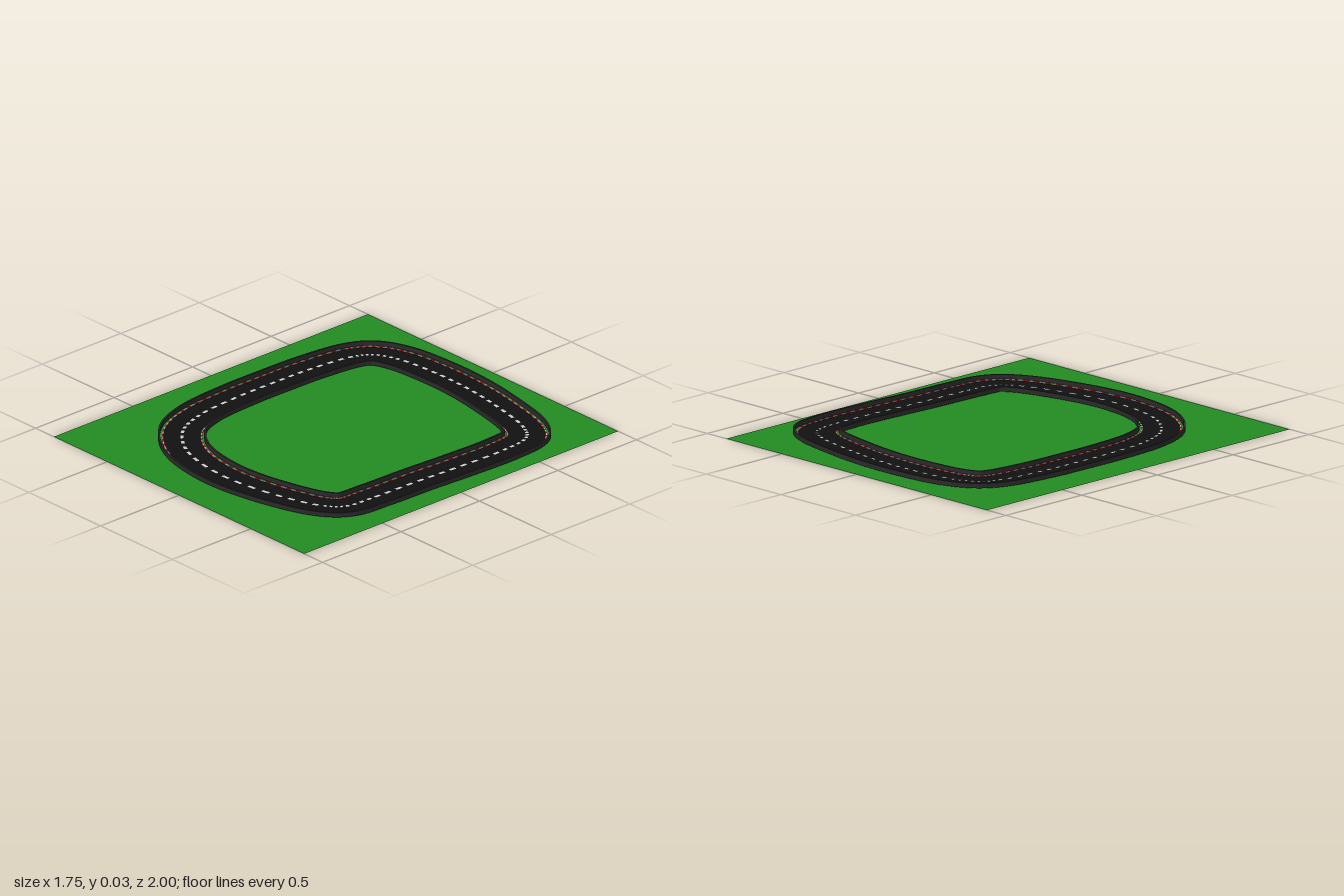
import * as THREE from 'three';

// Centre line of the circuit as x, z, counter-clockwise seen from above
const route = [
  [0.07, -0.781], [-0.16, -0.785], [-0.39, -0.76], [-0.51, -0.705], [-0.56, -0.62], [-0.593, -0.39],
  [-0.6, -0.16], [-0.598, 0.09], [-0.571, 0.347], [-0.497, 0.52], [-0.31, 0.66],
  [-0.005, 0.717], [0.32, 0.675], [0.56, 0.59], [0.632, 0.516], [0.65, 0.347],
  [0.658, 0.08], [0.672, -0.18], [0.677, -0.447], [0.65, -0.616], [0.56, -0.685], [0.31, -0.748],
];
const COUNT = route.length * 40;

const curve = new THREE.CatmullRomCurve3(
  route.map(([x, z]) => new THREE.Vector3(x, 0, z)), true, 'centripetal');

function createModel() {
  const model = new THREE.Group();
  model.name = 'raceTrack';

  const centre = [], normal = [];
  for (let i = 0; i < COUNT; i++) {
    const t = curve.getTangent(i / COUNT);
    centre.push(curve.getPoint(i / COUNT));
    normal.push(new THREE.Vector3(-t.z, 0, t.x));
  }

  // Line parallel to the centre; points that fold over in tight corners snap to the last good one
  function offsetLine(d) {
    const line = centre.map((c, i) => c.clone().addScaledVector(normal[i], d));
    const limit = (Math.abs(d) - 0.0015) ** 2;
    const good = line.map(p => centre.every(c => c.distanceToSquared(p) >= limit));
    let last = line[good.lastIndexOf(true)];
    return line.map((p, i) => (good[i] ? (last = p) : last));
  }

  // Sweeps a profile of [offset, height] along the track, keeping chosen steps only
  function sweep(name, color, profile, keep = () => true) {
    const rails = profile.map(([d, y]) =>
      offsetLine(d).map(p => new THREE.Vector3(p.x, y, p.z)));
    const pos = [];
    for (let i = 0; i < COUNT; i++) {
      if (!keep(i)) continue;
      const j = (i + 1) % COUNT;
      for (let k = 0; k + 1 < rails.length; k++) {
        const a = rails[k], b = rails[k + 1];
        for (const p of [a[i], b[i], b[j], a[i], b[j], a[j]]) pos.push(p.x, p.y, p.z);
      }
    }
    const geo = new THREE.BufferGeometry();
    geo.setAttribute('position', new THREE.Float32BufferAttribute(pos, 3));
    geo.computeVertexNormals();
    const mesh = new THREE.Mesh(geo,
      new THREE.MeshStandardMaterial({ color, side: THREE.DoubleSide }));
    mesh.name = name;
    model.add(mesh);
  }
  const ridge = (a, b, low, high) => [[a, low], [a, high], [b, high], [b, low]];

  // Grass
  const grass = new THREE.Mesh(
    new THREE.PlaneGeometry(1.746, 2).rotateX(-Math.PI / 2),
    new THREE.MeshStandardMaterial({ color: 0x228b22, side: THREE.DoubleSide }));
  grass.name = 'grass';
  model.add(grass);

  // Asphalt and dashed centre line
  sweep('road', 0x111111, [[-0.089, 0.008], [0.089, 0.008]]);
  sweep('centreDashes', 0xdddddd, [[-0.008, 0.01], [0.008, 0.01]], i => i % 10 < 5);

  // Striped kerbs and barriers on both sides
  for (const [side, s] of [['inner', -1], ['outer', 1]]) {
    const edge = (a, b, low, high) =>
      s > 0 ? ridge(a, b, low, high) : ridge(-b, -a, low, high);
    const kerb = edge(0.087, 0.095, 0.008, 0.012);
    sweep(side + 'KerbRed', 0xd02020, kerb, i => Math.floor(i / 4) % 2 === 0);
    sweep(side + 'KerbWhite', 0xeeeeee, kerb, i => Math.floor(i / 4) % 2 === 1);
    const wall = edge(0.104, 0.113, 0.008, 0.031);
    sweep(side + 'Barrier', 0x2a2a2a, [...wall, wall[0]]);
  }
  return model;
}

export { createModel };
